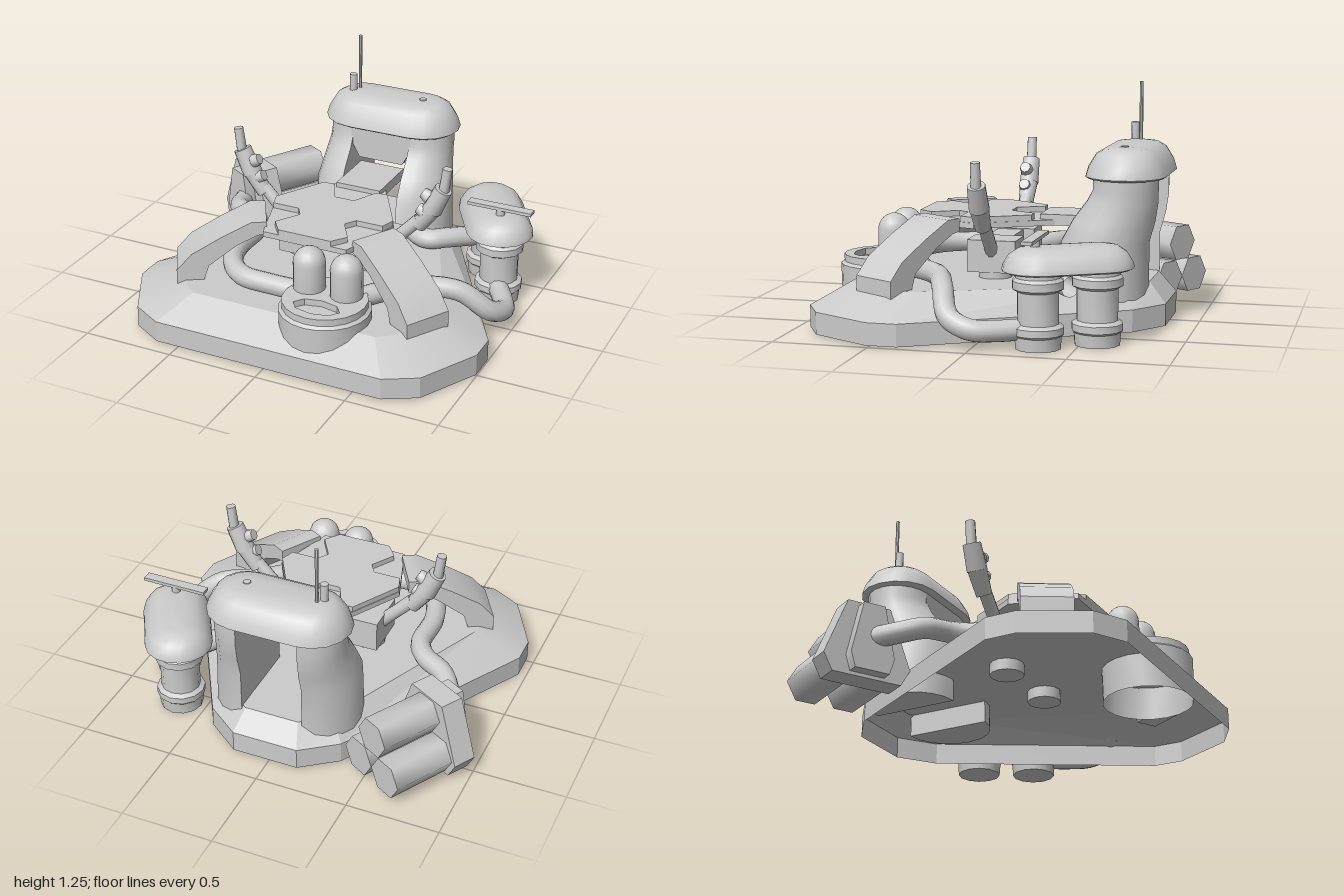
import * as THREE from 'three';
import { toCreasedNormals } from 'three/addons/utils/BufferGeometryUtils.js';

const X0 = 0.02; // mirror line of the hull
const solid = new THREE.MeshStandardMaterial({ color: 0xcccccc });
const thin = new THREE.MeshStandardMaterial({ color: 0xcccccc, side: THREE.DoubleSide });

export function createModel() {
  const model = new THREE.Group();

  const add = (name, geo, parent = model, mat = solid, crease = 0.6) => {
    const mesh = new THREE.Mesh(toCreasedNormals(geo, crease), mat);
    mesh.name = name;
    parent.add(mesh);
    return mesh;
  };
  const box = (name, w, h, d, x, y, z, parent) =>
    add(name, new THREE.BoxGeometry(w, h, d).translate(x, y, z), parent);
  const lathe = (name, pts, x, z, sides = 16, parent = model) => {
    const profile = pts.map(p => new THREE.Vector2(...p));
    return add(name, new THREE.LatheGeometry(profile, sides).translate(x, 0, z), parent, thin);
  };
  const points = pts => pts.map(p => new THREE.Vector2(...p));
  const extrude = (pts, depth, hole) => {
    const shape = new THREE.Shape(points(pts));
    if (hole) shape.holes.push(new THREE.Path(points(hole)));
    return new THREE.ExtrudeGeometry(shape, { depth, bevelEnabled: false });
  };
  // Flat plate drawn in x, z and given a thickness in y
  const slab = (pts, y, h) => extrude(pts.map(([x, z]) => [x, -z]), h).rotateX(-Math.PI / 2).translate(0, y, 0);
  const mirrored = half => [...half, ...half.map(([x, z]) => [-x, z]).reverse()];
  // Rod between two points
  const rod = (name, a, b, r0, r1, sides = 12, parent = model) => {
    const from = new THREE.Vector3(...a), to = new THREE.Vector3(...b);
    const mesh = add(name, new THREE.CylinderGeometry(r1, r0, from.distanceTo(to), sides), parent, solid, 0.85);
    mesh.position.copy(from).add(to).multiplyScalar(0.5);
    mesh.quaternion.setFromUnitVectors(new THREE.Vector3(0, 1, 0), to.sub(from).normalize());
  };
  const hose = (name, pts) => {
    const curve = new THREE.CatmullRomCurve3(pts.map(p => new THREE.Vector3(...p)), false, 'centripetal');
    add(name, new THREE.TubeGeometry(curve, 40, 0.055, 12), model, thin);
  };
  // Skin through rings of [x, y, z], listed from bottom to top
  const loft = (rings, capBottom, capTop) => {
    const n = rings[0].length, index = [];
    for (let k = 0; k < rings.length - 1; k++) for (let i = 0; i < n; i++) {
      const a = k * n + i, b = k * n + (i + 1) % n;
      index.push(a, a + n, b, b, a + n, b + n);
    }
    const top = (rings.length - 1) * n;
    for (let i = 1; i < n - 1; i++) {
      if (capTop) index.push(top, top + i + 1, top + i);
      if (capBottom) index.push(0, i, i + 1);
    }
    const geo = new THREE.BufferGeometry();
    geo.setAttribute('position', new THREE.Float32BufferAttribute(rings.flat(2), 3));
    geo.setIndex(index);
    return geo;
  };
  const arc = (cx, cz, rx, rz, from, to, n) => Array.from({ length: n + 1 }, (_, i) => {
    const a = from + (to - from) * i / n;
    return [cx + rx * Math.cos(a), cz + rz * Math.sin(a)];
  });
  const H = Math.PI / 2;
  const atY = (pts, y) => pts.map(([x, z]) => [x, y, z]);
  const stadium = (half, r, y) =>
    atY([...arc(half, 0, r, r, -H, H, 8), ...arc(-half, 0, r, r, H, 3 * H, 8)], y);

  // Hollow hull with a sloped rim
  const outer = mirrored([[0.18, -0.85], [0.37, -0.71], [0.98, 0.35], [0.98, 0.51], [0.81, 0.83], [0.64, 0.925]]);
  const inner = mirrored([[0.15, -0.76], [0.29, -0.64], [0.72, 0.34], [0.72, 0.46], [0.6, 0.68], [0.52, 0.74]]);
  const hull = loft([atY(outer, 0.015), atY(outer, 0.13), atY(inner, 0.24)], false, true);
  add('hull', hull, model, thin, 0.25).position.x = X0;

  // Raised frame: central plate with inlaid hatches and three arms
  const frame = new THREE.Group();
  frame.name = 'frame';
  frame.position.x = X0;
  model.add(frame);
  add('framePlate', slab(mirrored([[0.13, -0.25], [0.35, 0.13], [0.24, 0.48]]), 0.51, 0.03), frame);
  add('notchedTopPlate', slab(mirrored([[0.055, 0], [0.125, -0.14], [0.19, -0.14], [0.345, 0.13],
    [0.32, 0.21], [0.17, 0.21], [0.13, 0.27], [0.21, 0.4], [0.15, 0.48]]), 0.535, 0.035), frame);
  const frontArm = [[0.36, 0.5], [0.41, 0.49], [0.52, 0.435], [0.67, 0.32], [0.7, 0.23], [0.72, 0.17], [0.84, 0.17],
    [0.84, 0.3], [0.76, 0.39], [0.6, 0.485], [0.44, 0.567], [0.36, 0.567]];
  const rearArm = [[0.3, 0.51], [0.62, 0.51], [0.62, 0.567], [0.3, 0.567]];
  [['leftArm', frontArm, -30], ['rightArm', frontArm, -150], ['rearArm', rearArm, 90]].forEach(([name, pts, deg]) => {
    const arm = add(name, extrude(pts, 0.26).translate(0, 0, -0.13), frame);
    arm.position.z = 0.13;
    arm.rotation.y = THREE.MathUtils.degToRad(deg);
  });

  // Tower: two leaning legs, front apron and domed cap
  const tower = new THREE.Group();
  tower.name = 'tower';
  tower.position.x = X0;
  model.add(tower);
  const levels = [[0.12, -0.525, 0.235, 0.235], [0.45, -0.53, 0.225, 0.23], [0.56, -0.575, 0.205, 0.215],
    [0.66, -0.62, 0.19, 0.185], [0.72, -0.635, 0.19, 0.17], [0.82, -0.635, 0.19, 0.17]];
  for (const s of [1, -1]) {
    const rings = levels.map(([y, cz, rx, rz]) => {
      const half = arc(0.17, cz, rx, rz, -H, H, 10).map(([x, z]) => [s * x, z]);
      return atY(s > 0 ? half : half.reverse(), y);
    });
    add(s > 0 ? 'leftTowerLeg' : 'rightTowerLeg', loft(rings, true, true), tower);
  }
  add('towerApron', extrude([[-0.18, 0.8], [-0.18, 0.69], [-0.13, 0.6], [0.13, 0.6], [0.18, 0.69], [0.18, 0.8]], 0.04)
    .translate(0, 0, -0.505), tower);
  const cap = [[0.195, 0.78], [0.21, 0.79], [0.195, 0.84], [0.155, 0.905], [0.11, 0.932], [0.05, 0.94]];
  add('towerCap', loft(cap.map(([r, y]) => stadium(0.18, r, y)), true, true), tower).position.z = -0.635;
  rod('tallAntenna', [-0.21, 0.92, -0.645], [-0.21, 1.25, -0.645], 0.01, 0.01, 8, tower);
  rod('shortAntenna', [-0.235, 0.88, -0.61], [-0.235, 1.03, -0.61], 0.022, 0.022, 8, tower);
  rod('capStud', [0.18, 0.92, -0.63], [0.18, 0.945, -0.63], 0.024, 0.02, 8, tower);

  // Twin tank on the left side under one domed lid
  const tank = new THREE.Group();
  tank.name = 'sideTank';
  model.add(tank);
  const drum = [[0, 0.005], [0.115, 0.005], [0.12, 0.07], [0.13, 0.08], [0.13, 0.115], [0.105, 0.13], [0.105, 0.29],
    [0.13, 0.305], [0.13, 0.345], [0.115, 0.36], [0.115, 0.41]];
  lathe('rearDrum', drum, 0.645, -0.58, 12, tank);
  lathe('frontDrum', drum, 0.8, -0.315, 12, tank);
  const lid = [[0.16, 0.385], [0.18, 0.395], [0.175, 0.42], [0.145, 0.47], [0.1, 0.5], [0.04, 0.51]];
  const lidMesh = add('tankLid', loft(lid.map(([r, y]) => stadium(0.155, r, y)), true, true), tank);
  lidMesh.position.set(0.72, 0, -0.448);
  lidMesh.rotation.y = -Math.PI / 3;
  rod('ventPost', [0.8, 0.46, -0.3], [0.8, 0.55, -0.3], 0.025, 0.025, 8, tank);
  box('ventBar', 0.36, 0.018, 0.055, 0.8, 0.552, -0.3, tank);

  // Three hexagonal cells in a bracket, right rear
  const cells = new THREE.Group();
  cells.name = 'cellPack';
  cells.position.set(-0.562, 0, -0.82);
  cells.rotation.y = -Math.PI / 6;
  model.add(cells);
  for (const [x, y] of [[-0.108, 0.135], [0.108, 0.135], [0, 0.325]]) {
    add('cell', new THREE.CylinderGeometry(0.108, 0.108, 0.4, 6).rotateY(Math.PI / 6)
      .rotateX(H).translate(x, y, 0.2), cells, solid, 1.1);
  }
  const bracket = [[-0.19, 0.03], [0.19, 0.03], [0.24, 0.12], [0.12, 0.43], [-0.12, 0.43], [-0.24, 0.12]];
  add('cellBracket', extrude(bracket, 0.13).translate(0, 0, 0.35), cells);
  add('cellManifold', extrude(bracket.map(([x, y]) => [x * 0.5, 0.22 + (y - 0.22) * 0.9]), 0.06)
    .translate(0, 0, 0.48), cells);

  // Hoses
  hose('rightHose', [[-0.8, 0.24, -0.4], [-0.76, 0.26, -0.24], [-0.69, 0.29, -0.14], [-0.56, 0.3, -0.06],
    [-0.49, 0.3, 0.05], [-0.48, 0.3, 0.28], [-0.42, 0.3, 0.45], [-0.3, 0.3, 0.56], [-0.15, 0.3, 0.575], [0.12, 0.3, 0.575]]);
  hose('leftHose', [[0.82, 0.1, -0.25], [0.89, 0.1, -0.14], [0.945, 0.11, -0.01], [0.91, 0.16, 0.11],
    [0.77, 0.275, 0.18], [0.6, 0.3, 0.25], [0.46, 0.3, 0.36], [0.31, 0.3, 0.57]]);
  hose('towerHose', [[0.24, 0.3, -0.45], [0.29, 0.3, -0.33], [0.35, 0.3, -0.26], [0.42, 0.3, -0.25],
    [0.49, 0.3, -0.3], [0.62, 0.28, -0.44]]);

  // Front turret: round base, recessed hatch and two domed flasks
  lathe('turretBase', [[0.235, 0.06], [0.24, 0.29], [0.22, 0.305], [0, 0.305]], 0.225, 0.655, 20);
  add('turretTop', extrude(arc(0, 0, 0.222, 0.222, 0, 4 * H, 20), 0.04, arc(0, -0.1, 0.13, 0.07, 0, 4 * H, 8))
    .rotateX(-H).translate(0.225, 0.3, 0.655));
  for (const x of [0.1, 0.31]) {
    add('flask', new THREE.CapsuleGeometry(0.085, 0.16, 6, 16).translate(x, 0.405, 0.58));
  }

  // Pair of raised nozzles on pivot boxes under the frame
  box('pivotBeam', 0.3, 0.09, 0.14, X0, 0.395, 0.05);
  for (const s of [1, -1]) {
    const gun = new THREE.Group();
    gun.name = s > 0 ? 'leftNozzle' : 'rightNozzle';
    gun.position.set(X0, 0, 0.05);
    model.add(gun);
    box('pivotBox', 0.19, 0.17, 0.26, s * 0.21, 0.36, 0, gun);
    rod('pivotPost', [s * 0.21, 0.18, 0], [s * 0.21, 0.3, 0], 0.09, 0.09, 12, gun);
    rod('nozzleArm', [s * 0.27, 0.37, 0], [s * 0.46, 0.57, 0], 0.035, 0.035, 10, gun);
    rod('nozzleBody', [s * 0.455, 0.535, 0], [s * 0.54, 0.66, 0], 0.042, 0.052, 12, gun);
    rod('nozzleSleeve', [s * 0.53, 0.64, 0], [s * 0.59, 0.77, 0], 0.054, 0.048, 12, gun);
    rod('nozzleTip', [s * 0.59, 0.74, 0], [s * 0.61, 0.89, 0], 0.028, 0.026, 10, gun);
    for (const [x, y] of [[0.475, 0.63], [0.5, 0.722]]) {
      rod('knobStem', [s * (x + 0.06), y - 0.03, 0], [s * x, y, 0.01], 0.022, 0.022, 8, gun);
      rod('knob', [s * (x + 0.018), y - 0.008, 0.01], [s * (x - 0.02), y + 0.012, 0.01], 0.038, 0.03, 8, gun);
    }
  }

  return model;
}
